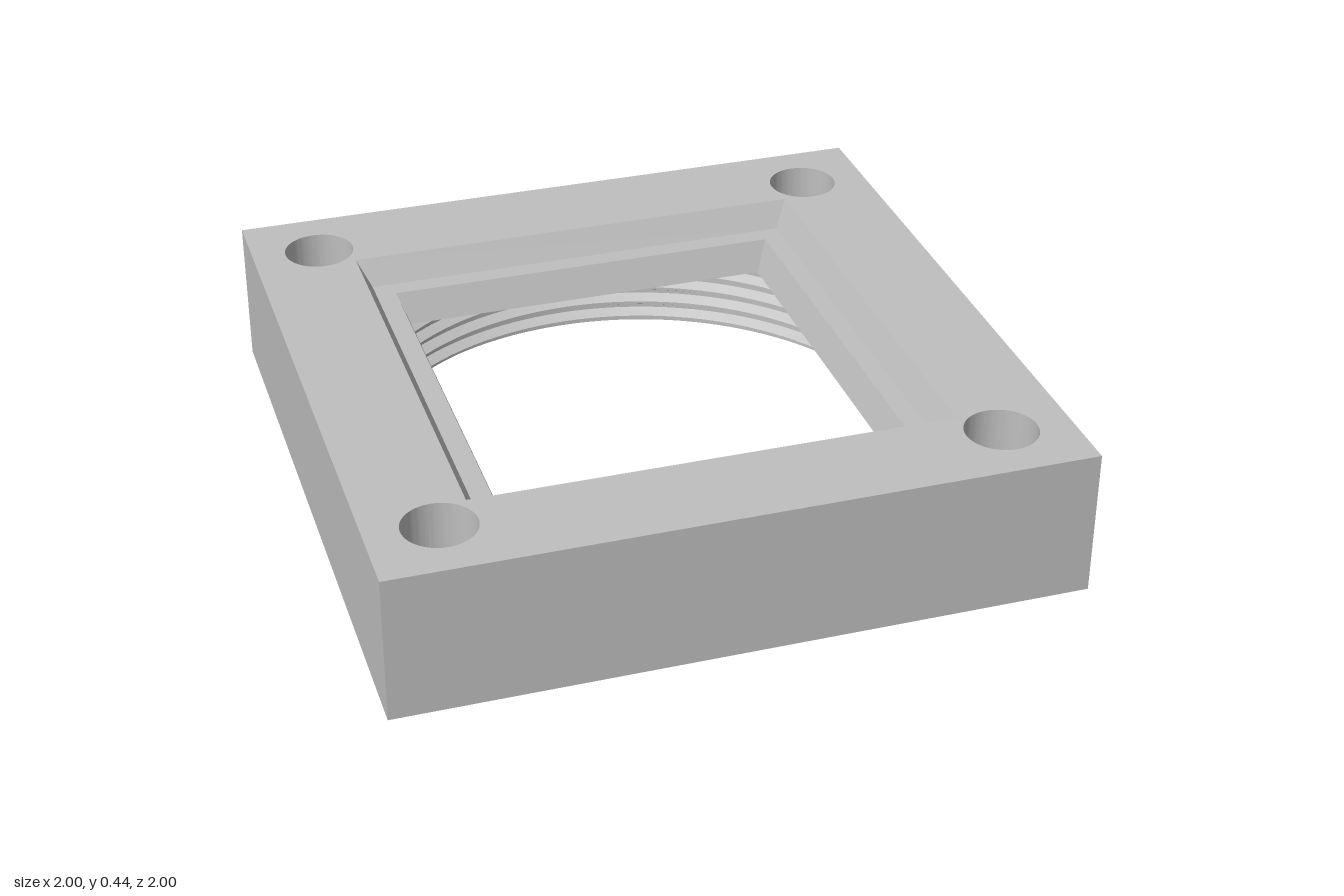
import * as THREE from 'three';
import { toCreasedNormals } from 'three/addons/utils/BufferGeometryUtils.js';

const HEIGHT = 0.44, CEILING = 0.265, BORE = 0.87, CREST = 0.84;
const HOLE_RADIUS = 0.105, HOLE_POS = 0.795;
const corners = [[1, 1], [-1, 1], [-1, -1], [1, -1]];

// Closed square or circular outlines for plates and their openings
const square = (h, Type) => new Type(corners.map(([x, y]) => new THREE.Vector2(x * h, y * h)));
const circle = (x, y, r, Type) => new Type().absarc(x, y, r, 0, Math.PI * 2, false);

// Horizontal face at height y, looking up (1) or down (-1)
function plate(outline, holes, y, facing) {
  outline.holes.push(...holes);
  return new THREE.ShapeGeometry(outline, 64).rotateX(-facing * Math.PI / 2).translate(0, y, 0);
}

// Four-sided wall from [half width, height] steps; ascending steps face outward
function squareWall(steps) {
  const pts = steps.map(([h, y]) => new THREE.Vector2(h * Math.SQRT2, y));
  return toCreasedNormals(new THREE.LatheGeometry(pts, 4, Math.PI / 4), 0.1);
}

// Round inward-facing wall from descending [radius, height] steps
function roundWall(steps) {
  const pts = steps.map(([r, y]) => new THREE.Vector2(r, y));
  return toCreasedNormals(new THREE.LatheGeometry(pts, 128), 0.4);
}

export function createModel() {
  const group = new THREE.Group();
  const grey = new THREE.MeshStandardMaterial({ color: 0xbfbfbf });
  grey.name = 'plain grey';
  const add = (name, geometry) => {
    const mesh = new THREE.Mesh(geometry, grey);
    mesh.name = name;
    group.add(mesh);
    return mesh;
  };
  const boltHoles = () => corners.map(([x, y]) =>
    circle(x * HOLE_POS, y * HOLE_POS, HOLE_RADIUS, THREE.Path));

  // Block exterior
  add('outerWalls', squareWall([[1, 0], [1, HEIGHT]]));
  add('topFace', plate(square(1, THREE.Shape),
    [square(0.70, THREE.Path), ...boltHoles()], HEIGHT, 1));
  add('bottomFace', plate(square(1, THREE.Shape),
    [circle(0, 0, BORE, THREE.Path), ...boltHoles()], 0, -1));

  // Stepped square opening with tapered walls and a ledge
  add('squareOpening', squareWall([[0.70, HEIGHT], [0.66, 0.36], [0.60, 0.36], [0.565, CEILING]]));

  // Underside of the ledge, at the end of the round bore
  add('boreCeiling', plate(circle(0, 0, BORE, THREE.Shape),
    [square(0.565, THREE.Path)], CEILING, -1));

  // Threaded bore: repeated ridges between root and crest radius
  const pitch = CEILING / 5;
  const thread = [[BORE, CEILING]];
  for (let i = 0; i < 5; i++) {
    const y = CEILING - i * pitch;
    thread.push([BORE, y - pitch * 0.1], [CREST, y - pitch * 0.42],
      [CREST, y - pitch * 0.58], [BORE, y - pitch * 0.9]);
  }
  thread.push([BORE, 0]);
  add('threadedBore', roundWall(thread));

  // Corner through holes
  const holeWall = roundWall([[HOLE_RADIUS, HEIGHT], [HOLE_RADIUS, 0]]);
  for (const [x, z] of corners) {
    add('boltHole', holeWall).position.set(x * HOLE_POS, 0, z * HOLE_POS);
  }
  return group;
}
